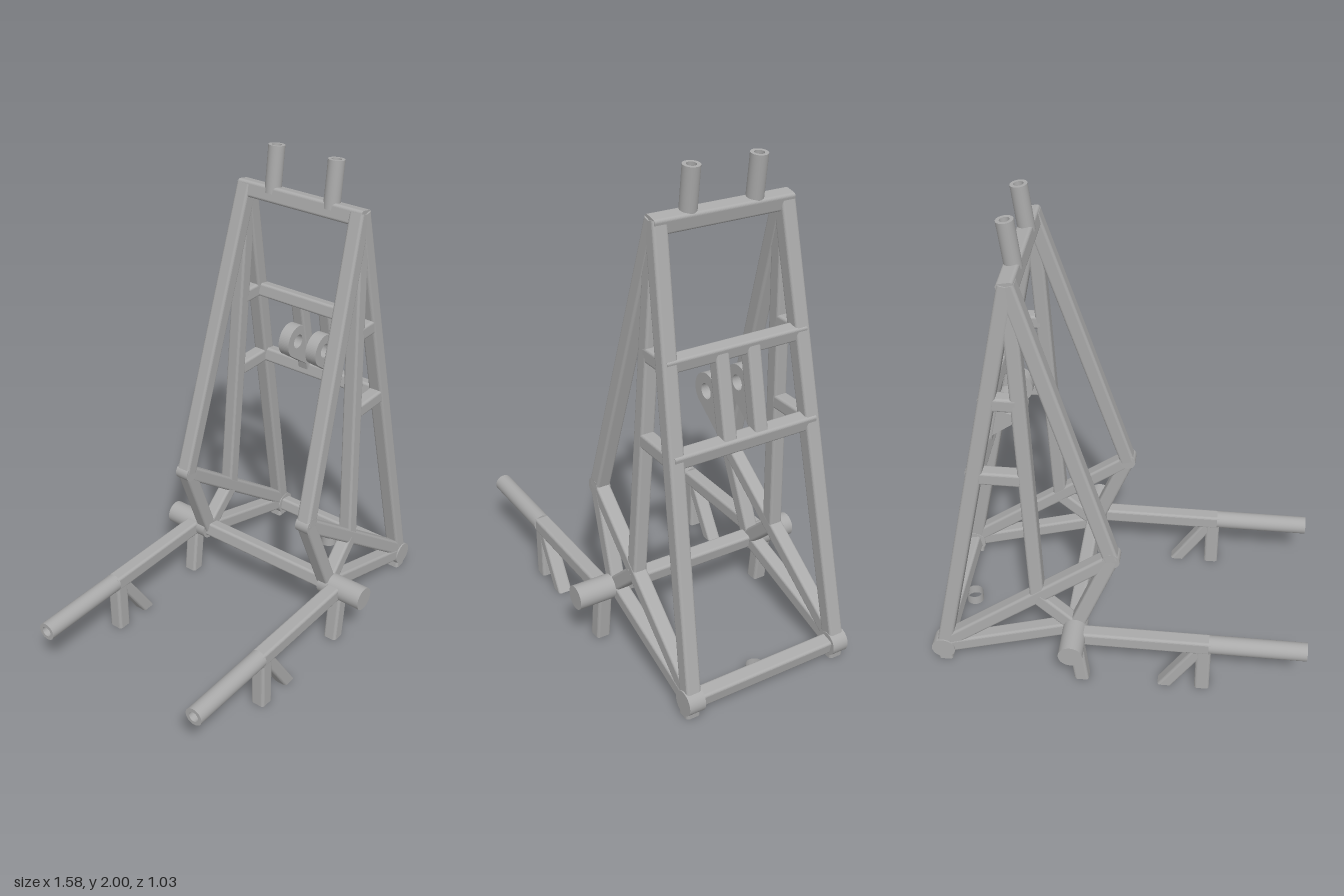
import * as THREE from 'three';

const steel = new THREE.MeshStandardMaterial({ color: 0xaaaaaa, side: THREE.DoubleSide });
steel.name = 'steelGrey';

const V = (x, y, z) => new THREE.Vector3(x, y, z);

// Trace a rounded square onto a shape or hole path
function roundedSquare(path, w, r) {
  const h = w / 2, k = h - r;
  path.absarc(k, k, r, 0, Math.PI / 2);
  path.absarc(-k, k, r, Math.PI / 2, Math.PI);
  path.absarc(-k, -k, r, Math.PI, Math.PI * 1.5);
  path.absarc(k, -k, r, Math.PI * 1.5, Math.PI * 2);
  path.closePath();
  return path;
}

export function createModel() {
  const model = new THREE.Group();
  model.name = 'tubularFrame';

  const add = (name, geometry) => {
    const mesh = new THREE.Mesh(geometry, steel);
    mesh.name = name;
    model.add(mesh);
    return mesh;
  };

  // Square tube with rounded edges between two points
  function tube(name, a, b, w = 0.06, side = V(0, 0, 1)) {
    const d = b.clone().sub(a), len = d.length();
    d.normalize();
    const geo = new THREE.ExtrudeGeometry(roundedSquare(new THREE.Shape(), w, w * 0.18),
      { depth: len, bevelEnabled: false, curveSegments: 3 });
    const x = new THREE.Vector3().crossVectors(side, d).normalize();
    const y = new THREE.Vector3().crossVectors(d, x);
    geo.applyMatrix4(new THREE.Matrix4().makeBasis(x, y, d).setPosition(a));
    return add(name, geo);
  }

  // Hollow leg cut level at the ground, sheared from its foot to its top
  function leg(name, footX, topX, topY, z, w = 0.06) {
    const shape = roundedSquare(new THREE.Shape(), w, w * 0.2);
    shape.holes.push(roundedSquare(new THREE.Path(), w * 0.78, w * 0.16));
    const geo = new THREE.ExtrudeGeometry(shape, { depth: topY, bevelEnabled: false, curveSegments: 3 });
    geo.rotateX(-Math.PI / 2);
    const p = geo.attributes.position;
    for (let i = 0; i < p.count; i++) p.setX(i, p.getX(i) + footX + (topX - footX) * p.getY(i) / topY);
    geo.translate(0, 0, z);
    geo.computeVertexNormals();
    return add(name, geo);
  }

  // Round pipe with an open bore between two points
  function pipe(name, a, b, r, bore) {
    const d = b.clone().sub(a), len = d.length();
    const geo = new THREE.LatheGeometry([
      new THREE.Vector2(bore, 0), new THREE.Vector2(r, 0), new THREE.Vector2(r, 0),
      new THREE.Vector2(r, len), new THREE.Vector2(r, len), new THREE.Vector2(bore, len),
      new THREE.Vector2(bore, len), new THREE.Vector2(bore, 0)], 28);
    const mesh = add(name, geo);
    mesh.position.copy(a);
    mesh.quaternion.setFromUnitVectors(V(0, 1, 0), d.normalize());
    return mesh;
  }

  // Solid round boss along z
  function boss(name, x, y, z0, z1, r) {
    const mesh = add(name, new THREE.CylinderGeometry(r, r, Math.abs(z1 - z0), 28));
    mesh.rotation.x = Math.PI / 2;
    mesh.position.set(x, y, (z0 + z1) / 2);
  }

  // Joints of the side truss; the sides lean inward with height
  const apex = [0.375, 1.82], knee = [0.015, 0.62], pivot = [0.165, 0.24],
    foot = [0.735, 0.065], hub = [0.32, 0.385];
  const sideZ = y => 0.338 - 0.04 * y;
  const slopeX = y => foot[0] + (apex[0] - foot[0]) * (y - foot[1]) / (apex[1] - foot[1]);

  for (const s of [1, -1]) {
    const at = ([x, y]) => V(x, y, s * sideZ(y));

    // Side truss
    tube('rearStrut', at(knee), at(apex), 0.062);
    tube('frontStrut', at(foot), at(apex), 0.062);
    tube('centreStrut', at(hub), at([0.37, 1.75]), 0.058);
    tube('lowerBackStrut', at(pivot), at(knee));
    tube('diagonalBrace', at(knee), at([0.715, 0.1]));
    tube('hubBrace', at(pivot), at(hub));
    tube('bottomRail', at(pivot), at(foot));
    boss('kneeJoint', ...knee, s * (sideZ(0.62) - 0.03), s * (sideZ(0.62) + 0.03), 0.035);
    boss('footDisc', ...foot, s * 0.3, s * 0.37, 0.05);
    leg('footStub', 0.73, 0.735, 0.06, s * 0.337);

    // Short ties between centre strut and front strut
    for (const y of [1.33, 0.987]) {
      tube('sideTie', V(0.365, y, s * sideZ(y)), V(slopeX(y), y, s * sideZ(y)), 0.058);
    }

    // Pivot, trailing arm and its legs
    boss('pivotBoss', ...pivot, s * 0.31, s * 0.515, 0.05);
    tube('armBar', V(-0.4, 0.236, s * 0.385), V(0.15, 0.236, s * 0.385), 0.063);
    pipe('armPipe', V(-0.79, 0.238, s * 0.385), V(-0.39, 0.238, s * 0.385), 0.038, 0.022);
    leg('armLeg', -0.37, -0.37, 0.22, s * 0.385, 0.062);
    leg('armDiagonalLeg', -0.215, -0.355, 0.22, s * 0.385);
    leg('pivotLeg', 0.135, 0.16, 0.22, s * 0.39);

    // Top socket
    pipe('topSocket', V(0.373, 1.81, s * 0.138), V(0.395, 1.996, s * 0.138), 0.033, 0.019);

    // Upright between the crossbars with a pierced lug
    tube('upright', V(slopeX(0.99), 0.99, s * 0.068), V(slopeX(1.33), 1.33, s * 0.068), 0.057);
    const lug = new THREE.Shape();
    lug.absarc(0, 0, 0.07, 0.2, Math.PI * 1.25);
    lug.lineTo(0.09, -0.15);
    lug.lineTo(0.11, -0.1);
    lug.closePath();
    const hole = new THREE.Path();
    hole.absarc(0, 0, 0.03, 0, Math.PI * 2);
    lug.holes.push(hole);
    const lugGeo = new THREE.ExtrudeGeometry(lug, { depth: 0.05, bevelEnabled: false, curveSegments: 20 });
    lugGeo.translate(0.437, 1.16, s * 0.068 - 0.025);
    add('lug', lugGeo);
  }

  // Crossbars joining both sides
  const cross = (name, x, y, z, w = 0.062) =>
    tube(name, V(x, y, -z), V(x, y, z), w, V(0.2, 1, 0));
  cross('topCrossbar', 0.375, 1.803, 0.29, 0.064);
  cross('upperCrossbar', slopeX(1.328), 1.328, 0.3, 0.056);
  cross('lowerCrossbar', slopeX(0.987), 0.987, 0.31, 0.06);
  cross('pivotCrossbar', 0.168, 0.24, 0.33, 0.062);
  cross('footCrossbar', 0.735, 0.065, 0.34, 0.06);

  // Open sleeve beneath the foot crossbar
  const sleeve = add('centreSleeve', new THREE.CylinderGeometry(0.037, 0.037, 0.045, 24, 1, true));
  sleeve.position.set(0.675, 0.0225, 0);

  return model;
}
